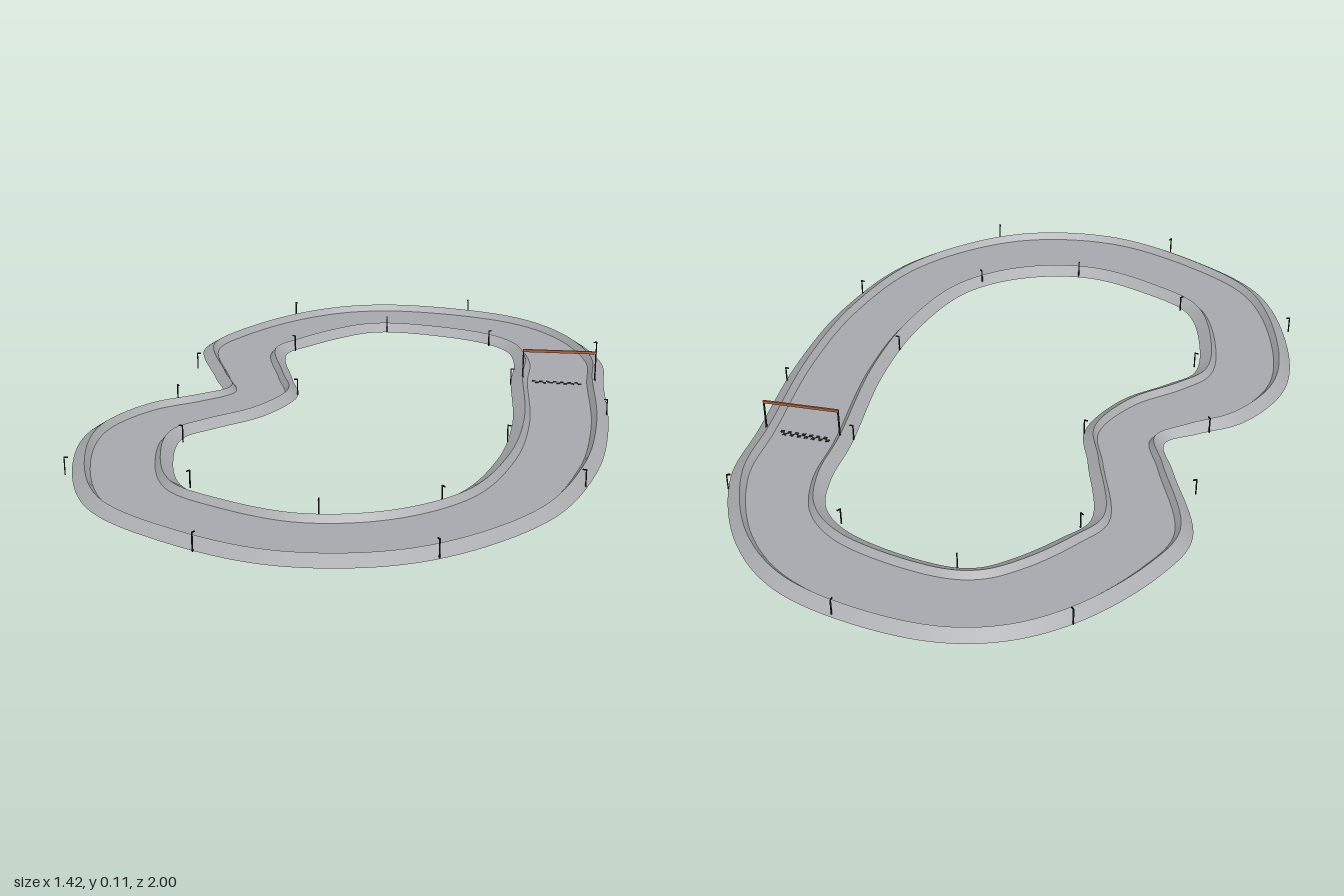
import * as THREE from 'three';

// Matching points on the two feet of the track: outer x, z, inner x, z
const EDGES = [
  [0.03, -1, 0.03, -0.73], [0.38, -0.93, 0.29, -0.67], [0.56, -0.78, 0.385, -0.59],
  [0.68, -0.53, 0.415, -0.475], [0.69, -0.315, 0.415, -0.315], [0.706, 0.03, 0.44, 0.03],
  [0.675, 0.36, 0.415, 0.305], [0.56, 0.675, 0.33, 0.54], [0.28, 0.935, 0.175, 0.67],
  [-0.04, 1, -0.025, 0.72], [-0.34, 0.91, -0.225, 0.67], [-0.565, 0.755, -0.36, 0.595],
  [-0.695, 0.45, -0.43, 0.425], [-0.705, 0.24, -0.44, 0.27], [-0.615, 0.06, -0.375, 0.195],
  [-0.5, -0.025, -0.26, 0.08], [-0.42, -0.09, -0.193, -0.09], [-0.465, -0.21, -0.235, -0.235],
  [-0.563, -0.47, -0.295, -0.465], [-0.51, -0.63, -0.235, -0.555],
  [-0.35, -0.845, -0.145, -0.655], [-0.18, -0.96, -0.065, -0.715],
];

// Cross-section from outer foot to inner foot: fraction of width, height
const PROFILE = [[0, 0], [0.125, 0.022], [0.18, 0.004], [0.82, 0.004], [0.875, 0.022], [1, 0]];
const BANDS = ['outerBank', 'outerKerb', 'road', 'innerKerb', 'innerBank'];
const STEPS = 220;

// Lamp posts along both feet
const OUTER_LAMPS = [
  [-0.34, -0.855], [0.23, -0.97], [-0.54, -0.29], [-0.53, -0.01], [-0.68, 0.566],
  [-0.245, 0.955], [0.325, 0.905], [0.65, 0.448], [0.7, -0.07], [0.665, -0.58],
];
const INNER_LAMPS = [
  [-0.276, -0.5], [-0.014, -0.73], [0.325, -0.64], [0.416, -0.29], [0.435, 0.17],
  [0.3, 0.6], [0.012, 0.722], [-0.34, 0.6], [-0.435, 0.303], [-0.195, -0.105],
];

export function createModel() {
  const model = new THREE.Group();
  model.name = 'raceTrack';

  const material = (name, color, side = THREE.FrontSide) => {
    const m = new THREE.MeshStandardMaterial({ color, side });
    m.name = name;
    return m;
  };
  const asphalt = material('asphalt grey', 0xa8aaaf, THREE.DoubleSide);
  const concrete = material('concrete grey', 0xabacaf, THREE.DoubleSide);
  const black = material('post black', 0x222222);
  const rust = material('beam rust', 0xb0603c);

  const closedCurve = (k) => new THREE.CatmullRomCurve3(
    EDGES.map((e) => new THREE.Vector3(e[k], 0, e[k + 1])), true);
  const outer = closedCurve(0);
  const inner = closedCurve(2);
  const pointAt = (t, [f, y]) => outer.getPoint(t).lerp(inner.getPoint(t), f).setY(y);

  // Road, kerbs and banks as closed bands with sharp edges between them
  BANDS.forEach((name, b) => {
    const pos = [];
    const index = [];
    for (let i = 0; i < STEPS; i++) {
      pos.push(...pointAt(i / STEPS, PROFILE[b]), ...pointAt(i / STEPS, PROFILE[b + 1]));
      const a = 2 * i;
      const c = 2 * ((i + 1) % STEPS);
      index.push(a, a + 1, c, a + 1, c + 1, c);
    }
    const g = new THREE.BufferGeometry();
    g.setAttribute('position', new THREE.Float32BufferAttribute(pos, 3));
    g.setIndex(index);
    g.computeVertexNormals();
    const mesh = new THREE.Mesh(g, name === 'road' ? asphalt : concrete);
    mesh.name = name;
    model.add(mesh);
  });

  const box = (parent, name, mat, size, at) => {
    const mesh = new THREE.Mesh(new THREE.BoxGeometry(...size), mat);
    mesh.position.set(...at);
    mesh.name = name;
    parent.add(mesh);
    return mesh;
  };

  // Lamp posts, each with a short arm reaching over the track
  const centre = Array.from({ length: STEPS }, (_, i) => pointAt(i / STEPS, [0.5, 0]));
  for (const [x, z] of [...OUTER_LAMPS, ...INNER_LAMPS]) {
    const lamp = new THREE.Group();
    lamp.name = 'lampPost';
    lamp.position.set(x, 0, z);
    const near = centre.reduce((p, q) =>
      (q.distanceToSquared(lamp.position) < p.distanceToSquared(lamp.position) ? q : p));
    lamp.lookAt(near);
    box(lamp, 'lampPole', black, [0.003, 0.05, 0.003], [0, 0.025, 0]);
    box(lamp, 'lampArm', black, [0.003, 0.003, 0.01], [0, 0.0485, 0.005]);
    model.add(lamp);
  }

  // Start gantry
  const gantry = new THREE.Group();
  gantry.name = 'startGantry';
  gantry.position.set(0.5565, 0, -0.31);
  gantry.rotation.y = 0.045;
  for (const s of [-1, 1]) {
    box(gantry, 'gantryPost', black, [0.004, 0.096, 0.004], [s * 0.1065, 0.052, 0]);
  }
  box(gantry, 'gantryBeam', rust, [0.217, 0.008, 0.005], [0, 0.103, 0]);
  model.add(gantry);

  // Chequered start line
  for (let row = 0; row < 2; row++) {
    for (let i = row; i < 14; i += 2) {
      box(model, 'startLineSquare', black, [0.0105, 0.001, 0.0105],
        [0.483 + i * 0.0105, 0.0046, -0.318 + row * 0.0105]);
    }
  }
  return model;
}
